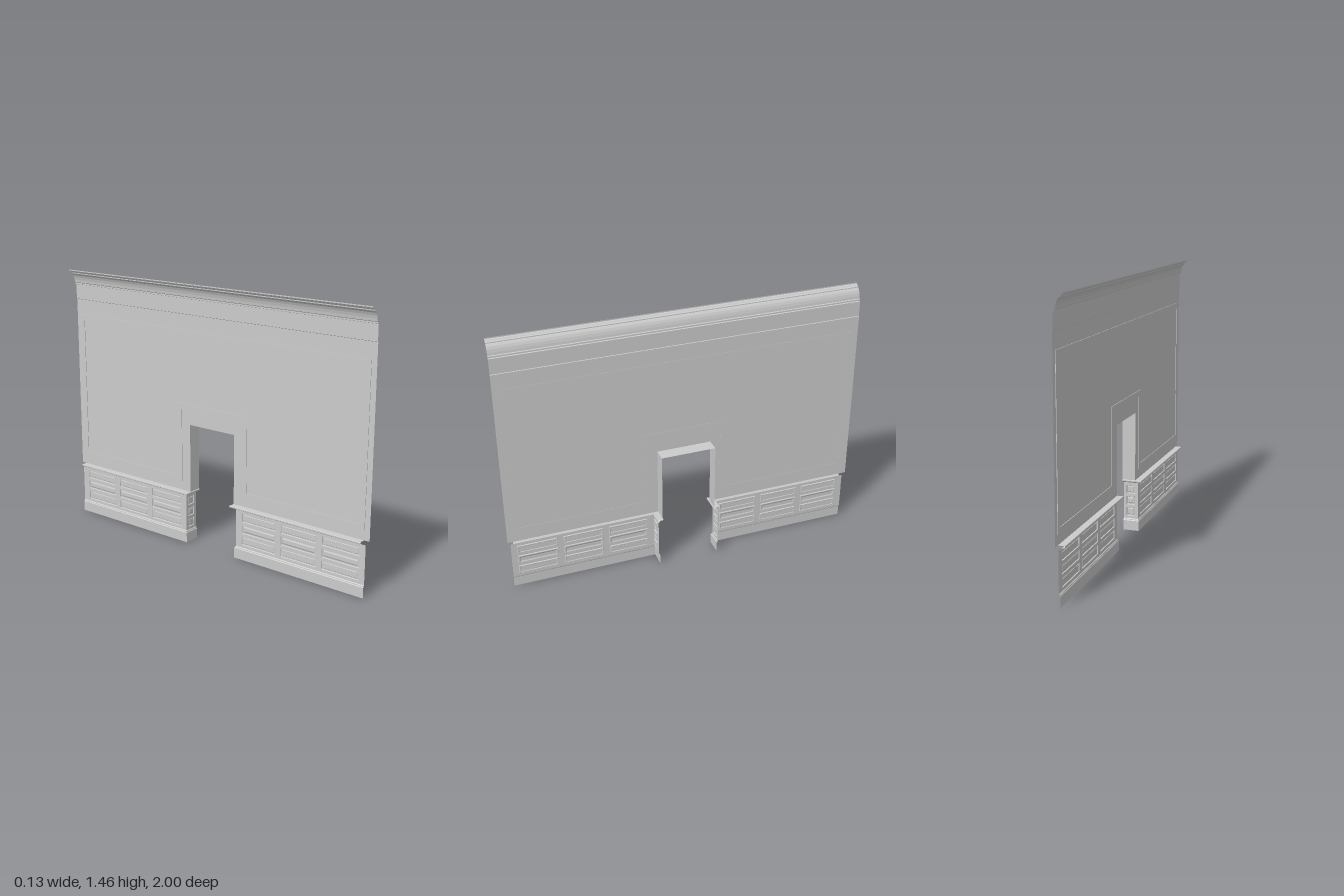
import * as THREE from 'three';

const mat = new THREE.MeshStandardMaterial({ color: 0xcccccc, flatShading: true, side: THREE.DoubleSide });
const DOOR = { centre: 0.005, half: 0.152, top: 0.685 };
const WALL_X = -0.01, BACK_X = 0.065, DADO_X = -0.018, JAMB = 0.176;

function mesh(name, geometry) {
  const m = new THREE.Mesh(geometry, mat);
  m.name = name;
  return m;
}

// Skin between successive rows of points
function loft(rows, closed = false) {
  const pos = [];
  for (let i = 0; i < rows.length - 1; i++) {
    const n = rows[i].length;
    for (let j = 0; j < (closed ? n : n - 1); j++) {
      const k = (j + 1) % n;
      const a = rows[i][j], b = rows[i][k], c = rows[i + 1][k], d = rows[i + 1][j];
      pos.push(...a, ...b, ...c, ...a, ...c, ...d);
    }
  }
  const g = new THREE.BufferGeometry();
  g.setAttribute('position', new THREE.Float32BufferAttribute(pos, 3));
  g.computeVertexNormals();
  return g;
}

// Move every vertex by a rule (u, v, w) => [x, y, z]
function remap(geometry, rule) {
  const g = geometry.index ? geometry.toNonIndexed() : geometry;
  const p = g.attributes.position;
  for (let i = 0; i < p.count; i++) p.setXYZ(i, ...rule(p.getX(i), p.getY(i), p.getZ(i)));
  g.computeVertexNormals();
  return g;
}

const polygon = (pts) => pts.map(([u, v]) => new THREE.Vector2(u, v));
const rect = (u0, u1, v0, v1) => [[u0, v0], [u1, v0], [u1, v1], [u0, v1]];

// Outline with a notch for the doorway, drawn in (z, y)
function notched(side, bottom, top, notch, notchTop) {
  const c = DOOR.centre;
  return polygon([[-side, bottom], [c - notch, bottom], [c - notch, notchTop], [c + notch, notchTop],
    [c + notch, bottom], [side, bottom], [side, top], [-side, top]]);
}

// Flat sheet with rows and columns of sunk panels
function panelling(name, uRange, vRange, columns, rows, rule) {
  const group = new THREE.Group();
  group.name = name;
  const sheet = new THREE.Shape(polygon(rect(...uRange, ...vRange)));
  rows.forEach(([v0, v1], r) => {
    for (const [u0, u1] of columns) {
      sheet.holes.push(new THREE.Path(polygon(rect(u0, u1, v0, v1))));
      // inset, depth: sunk edge, then a bevelled field in the middle row
      const steps = r === 1
        ? [[0, 0], [0.002, 0.005], [0.007, 0.005], [0.014, 0.002]]
        : [[0, 0], [0.002, 0.005], [0.007, 0.005], [0.009, 0.003]];
      const rings = steps.map(([i, w]) =>
        rect(u0 + i, u1 - i, v0 + i, v1 - i).map(([u, v]) => [u, v, w]));
      const [i, w] = steps[3];
      rings.push(Array(4).fill([(u0 + u1) / 2, (v0 + v1) / 2, w]));
      group.add(mesh('sunkPanel', remap(loft(rings, true), rule)));
    }
  });
  group.add(mesh('panelFrame', remap(new THREE.ShapeGeometry(sheet), rule)));
  return group;
}

// Dado on one side of the doorway, turning the corner into the jamb
function dado(side, end) {
  const group = new THREE.Group();
  group.name = side > 0 ? 'leftDado' : 'rightDado';
  const z = (s) => DOOR.centre + side * s;
  const trim = (name, profile, stop) => mesh(name, loft(profile.map(([d, y]) => [
    [DADO_X - d, y, z(stop)],
    [DADO_X - d, y, z(JAMB - d)],
    [BACK_X, y, z(JAMB - d)],
  ])));

  group.add(trim('baseboard',
    [[0.007, 0], [0.007, 0.056], [0.004, 0.06], [0.004, 0.064], [0, 0.068]], end));
  group.add(trim('chairRail',
    [[0, 0.278], [0.004, 0.28], [0.008, 0.286], [0.012, 0.288], [0.025, 0.289],
      [0.027, 0.291], [0.027, 0.297], [0.025, 0.299], [-0.008, 0.3]], end - 0.016));

  const rows = [0.108, 0.173, 0.238].map((y) => [y - 0.024, y + 0.024]);
  const columns = [[0.215, 0.435], [0.47, 0.69], [0.725, 0.945]];
  group.add(panelling('wallPanelling', [JAMB, end], [0.068, 0.28], columns, rows,
    (u, v, w) => [DADO_X + w, v, z(u)]));
  group.add(panelling('jambPanelling', [DADO_X, BACK_X], [0.068, 0.28], [[0, 0.048]], rows,
    (u, v, w) => [u, v, z(JAMB + w)]));
  return group;
}

export function createModel() {
  const model = new THREE.Group();
  model.name = 'panelledWall';

  // Thin wall sheet with the doorway cut out
  const wall = new THREE.Shape(notched(1, 0.3, 1.29, DOOR.half, DOOR.top));
  model.add(mesh('wall', remap(new THREE.ShapeGeometry(wall), (u, v) => [WALL_X, v, u])));

  // Doorway lining: two jambs and the head
  const path = [[-1, 0.3], [-1, DOOR.top], [1, DOOR.top], [1, 0.3]];
  model.add(mesh('doorLining', loft([WALL_X, BACK_X].map((x) =>
    path.map(([s, y]) => [x, y, DOOR.centre + s * DOOR.half])))));

  // Raised moulding that follows the wall and steps around the doorway
  const frame = new THREE.Shape(notched(0.97, 0.35, 1.205, 0.21, 0.765));
  frame.holes.push(new THREE.Path(notched(0.943, 0.38, 1.17, 0.238, 0.8)));
  model.add(mesh('wallMoulding', remap(
    new THREE.ExtrudeGeometry(frame, { depth: 0.004, bevelEnabled: false }),
    (u, v, w) => [WALL_X + 0.001 - w, v, u])));

  // Frieze and crown moulding, one open profile along the wall
  const crown = [[-0.01, 1.29], [-0.013, 1.292], [-0.013, 1.375], [-0.019, 1.377], [-0.019, 1.385],
    [-0.023, 1.388], [-0.025, 1.402], [-0.029, 1.417], [-0.035, 1.43], [-0.043, 1.44],
    [-0.047, 1.441], [-0.047, 1.446], [-0.053, 1.449], [-0.058, 1.456], [-0.065, 1.458], [-0.065, 1.464]];
  model.add(mesh('crownMoulding', loft(crown.map(([x, y]) => [[x, y, 1], [x, y, -1]]))));

  // Dado either side of the doorway
  model.add(dado(1, 0.979), dado(-1, 0.989));
  return model;
}
